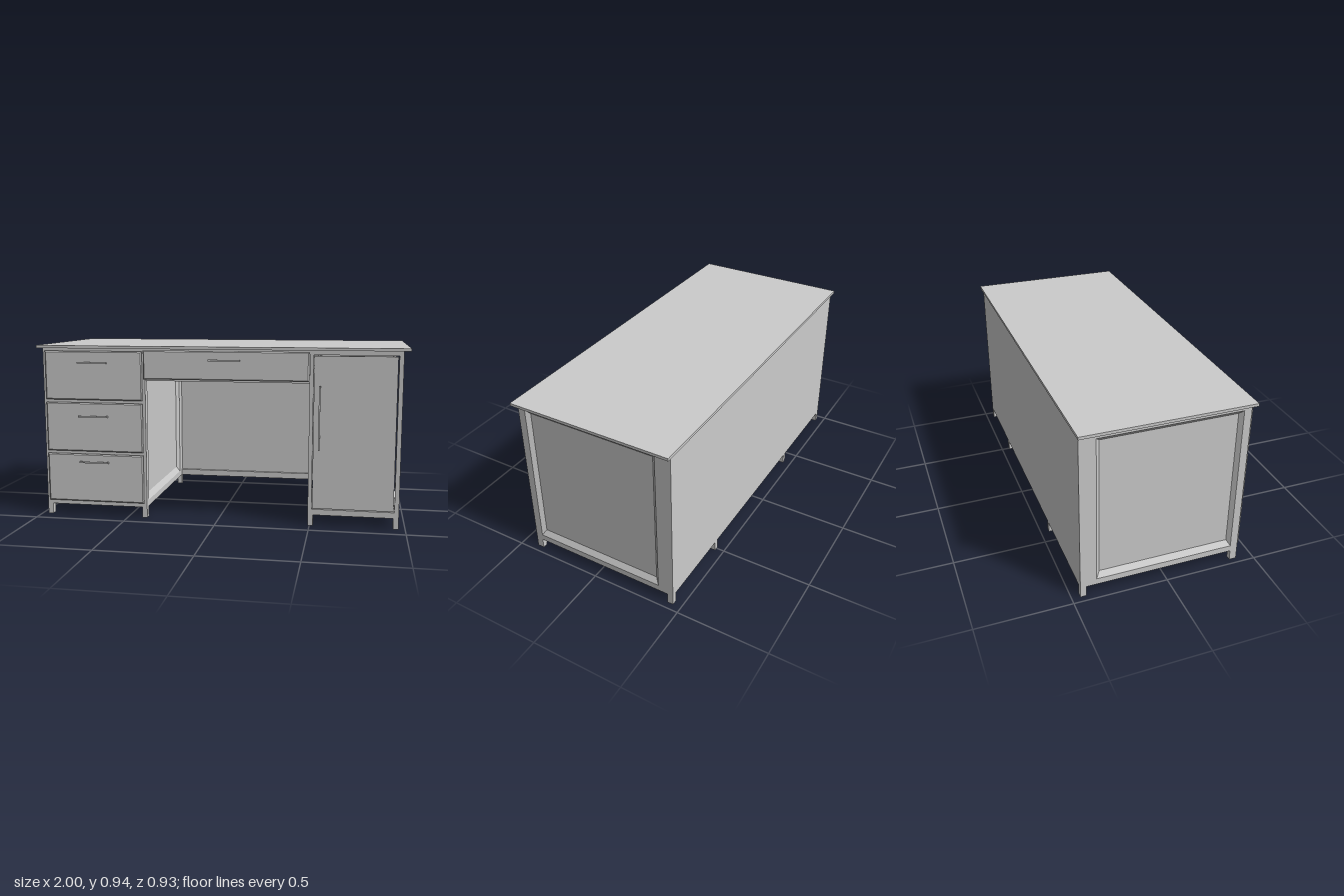
import * as THREE from 'three';

const material = new THREE.MeshStandardMaterial({ color: 0xcccccc, flatShading: true });
const FRONT = 0.41, BACK = -0.455, BASE = 0.058, TOP = 0.93;

function mesh(parent, name, geometry) {
  const m = new THREE.Mesh(geometry, material);
  m.name = name;
  parent.add(m);
  return m;
}

// Box given by its limits on each axis
function box(parent, name, x0, x1, y0, y1, z0, z1) {
  const m = mesh(parent, name, new THREE.BoxGeometry(x1 - x0, y1 - y0, z1 - z0));
  m.position.set((x0 + x1) / 2, (y0 + y1) / 2, (z0 + z1) / 2);
  return m;
}

const corners = (x0, x1, y0, y1) => [[x0, y0], [x1, y0], [x1, y1], [x0, y1]]
  .map(([x, y]) => new THREE.Vector2(x, y));

// Rectangular plate with rectangular openings, each [x0, x1, y0, y1]
function frameGeometry(outer, holes, depth) {
  const shape = new THREE.Shape(corners(...outer));
  for (const h of holes) shape.holes.push(new THREE.Path(corners(...h).reverse()));
  return new THREE.ExtrudeGeometry(shape, { depth, bevelEnabled: false });
}

// Sunken panel: four slopes from the outer rectangle down to a flat inner one
function sunkenGeometry(outer, inner, depth) {
  const o = corners(...outer), n = corners(...inner), pos = [];
  const put = (p, z) => pos.push(p.x, p.y, z);
  for (let i = 0; i < 4; i++) {
    const j = (i + 1) % 4;
    put(o[i], 0); put(o[j], 0); put(n[j], -depth);
    put(o[i], 0); put(n[j], -depth); put(n[i], -depth);
  }
  for (const i of [0, 1, 2, 0, 2, 3]) put(n[i], -depth);
  const g = new THREE.BufferGeometry();
  g.setAttribute('position', new THREE.Float32BufferAttribute(pos, 3));
  g.computeVertexNormals();
  return g;
}

// Framed side of a pedestal, its face at x and turned towards dir (+1 or -1)
function sidePanel(parent, name, x, dir) {
  const side = new THREE.Group();
  side.name = name;
  const [z0, z1] = dir > 0 ? [-FRONT, -BACK] : [BACK, FRONT];
  const opening = [-0.37, 0.37, 0.092, 0.9];
  const frame = mesh(side, 'sideFrame', frameGeometry([z0, z1, BASE, TOP], [opening], 0.02));
  frame.position.z = -0.02;
  mesh(side, 'sunkenPanel', sunkenGeometry(opening, [-0.35, 0.35, 0.125, 0.88], 0.018));
  side.rotation.y = dir * Math.PI / 2;
  side.position.x = x;
  parent.add(side);
}

// Drawer front with chamfered edges
function drawerFront(parent, x0, x1, y0, y1, z) {
  const b = 0.006;
  const g = new THREE.ExtrudeGeometry(
    new THREE.Shape(corners(x0 + b, x1 - b, y0 + b, y1 - b)),
    { depth: 0.004, bevelThickness: 0.005, bevelSize: b, bevelSegments: 1 });
  mesh(parent, 'drawerFront', g).position.z = z + 0.005;
}

// Bar handle on two posts, standing out from a face at z
function handle(parent, x, y, z, length, reach, vertical = false) {
  const h = new THREE.Group();
  h.name = 'handle';
  const t = 0.004, l = length / 2;
  box(h, 'handleBar', -l, l, -t, t, reach - 0.006, reach);
  for (const s of [-1, 1]) {
    const c = s * (l - 0.005);
    box(h, 'handlePost', c - 0.005, c + 0.005, -t, t, -0.002, reach - 0.006);
  }
  h.position.set(x, y, z);
  if (vertical) h.rotation.z = Math.PI / 2;
  parent.add(h);
}

// Pedestal shell: sides, face frame with openings, floor with rim, four legs
function pedestal(name, x0, x1, openings) {
  const p = new THREE.Group();
  p.name = name;
  sidePanel(p, 'leftSide', x1, 1);
  sidePanel(p, 'rightSide', x0, -1);
  const face = mesh(p, 'faceFrame', frameGeometry([x0, x1, BASE, TOP], openings, 0.02));
  face.position.z = FRONT - 0.02;
  box(p, 'floor', x0 + 0.015, x1 - 0.015, 0.072, 0.085, BACK + 0.01, FRONT - 0.01);
  for (const [a, b] of [[x0, x0 + 0.028], [x1 - 0.028, x1]]) {
    box(p, 'frontLeg', a, b, 0, 0.075, FRONT - 0.038, FRONT);
    box(p, 'backLeg', a, b, 0, 0.075, BACK, BACK + 0.032);
  }
  return p;
}

export function createModel() {
  const desk = new THREE.Group();
  desk.name = 'desk';

  box(desk, 'desktop', -1, 1, TOP, 0.945, -0.465, 0.425);
  box(desk, 'backPanel', -0.968, 0.965, BASE, TOP, BACK, BACK + 0.015);

  // Drawer pedestal
  const rows = [[0.083, 0.35, 0.306], [0.365, 0.635, 0.56], [0.65, 0.916, 0.853]];
  const drawers = pedestal('drawerPedestal', -0.968, -0.392,
    rows.map(([a, b]) => [-0.935, -0.42, a + 0.012, b - 0.012]));
  for (const [y0, y1, hy] of rows) {
    const d = new THREE.Group();
    d.name = 'drawer';
    box(d, 'drawerBox', -0.932, -0.423, y0 + 0.015, y1 - 0.015, -0.35, 0.42);
    drawerFront(d, -0.95, -0.405, y0, y1, 0.416);
    handle(d, -0.68, hy, 0.43, 0.165, 0.017);
    drawers.add(d);
  }
  desk.add(drawers);

  // Door pedestal
  const cupboard = pedestal('doorPedestal', 0.49, 0.965, [[0.508, 0.942, 0.089, 0.907]]);
  const door = new THREE.Group();
  door.name = 'door';
  box(door, 'doorPanel', 0.513, 0.937, 0.094, 0.902, 0.39, 0.411);
  handle(door, 0.544, 0.578, 0.411, 0.34, 0.016, true);
  cupboard.add(door);
  desk.add(cupboard);

  // Knee space: rails against the back panel and the drawer support
  const knee = new THREE.Group();
  knee.name = 'kneeSpace';
  box(knee, 'lowerRail', -0.392, 0.49, BASE, 0.094, BACK + 0.015, BACK + 0.032);
  box(knee, 'upperRail', -0.392, 0.49, 0.71, TOP, BACK + 0.015, BACK + 0.032);
  box(knee, 'drawerSupport', -0.392, 0.49, 0.757, 0.775, -0.42, 0.39);
  box(knee, 'topRail', -0.392, 0.49, 0.912, TOP, 0.385, FRONT);
  desk.add(knee);

  // Centre drawer, slightly open
  const centre = new THREE.Group();
  centre.name = 'centreDrawer';
  box(centre, 'drawerBox', -0.375, 0.473, 0.78, 0.905, -0.36, 0.438);
  drawerFront(centre, -0.392, 0.49, 0.77, 0.924, 0.435);
  handle(centre, 0.047, 0.876, 0.449, 0.17, 0.017);
  desk.add(centre);

  return desk;
}
